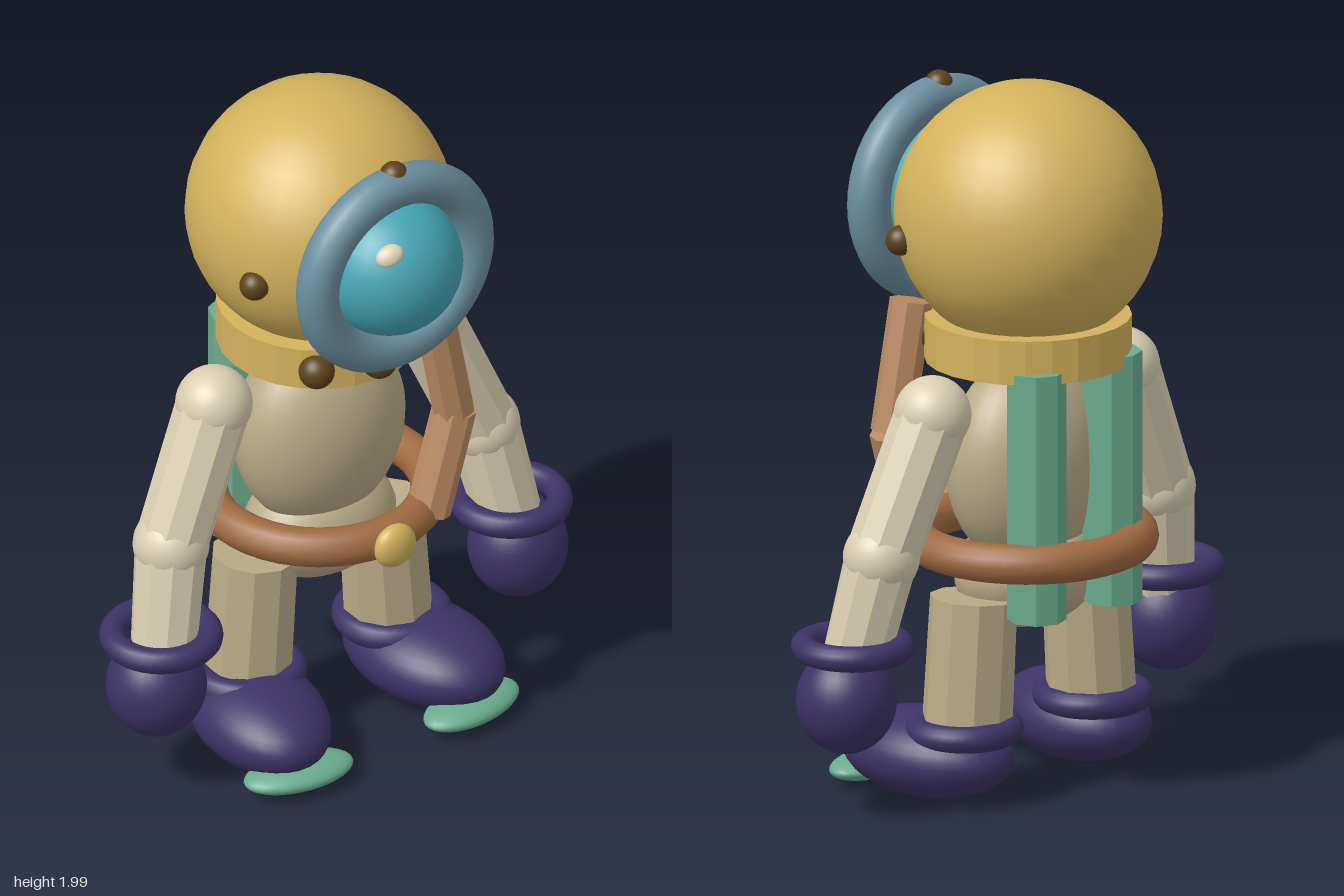
import * as THREE from 'three';

const paint = (name, color, flatShading = false) => {
  const m = new THREE.MeshStandardMaterial({ color });
  m.name = name;
  m.flatShading = flatShading;
  return m;
};

export function createModel() {
  const model = new THREE.Group();
  model.name = 'diver';

  const gold = paint('gold', 0xd3b25c);
  const steel = paint('steelBlue', 0x6b8e9e);
  const glass = paint('glassTeal', 0x45a5b3);
  const cream = paint('cream', 0xd9cfb2);
  const tan = paint('tan', 0xb9ab88);
  const purple = paint('purple', 0x3d3366);
  const green = paint('seaGreen', 0x6aab8e);
  const bronze = paint('bronze', 0x5c421c);
  const copper = paint('copper', 0xba8a62);
  const leather = paint('leather', 0xa06a42);

  const add = (name, geometry, material, pos, parent = model) => {
    const mesh = new THREE.Mesh(geometry, material);
    mesh.name = name;
    mesh.position.set(...pos);
    parent.add(mesh);
    return mesh;
  };
  // Ellipsoid with radii r
  const ball = (name, material, pos, r, parent) => {
    const mesh = add(name, new THREE.SphereGeometry(1, 32, 20), material, pos, parent);
    mesh.scale.set(...r);
    return mesh;
  };
  // Horizontal ring
  const hoop = (name, material, pos, R, r, parent) =>
    add(name, new THREE.TorusGeometry(R, r, 14, 40).rotateX(Math.PI / 2), material, pos, parent);
  // Faceted tapered rod from a to b
  const rod = (name, material, a, b, ra, rb, sides, parent) => {
    const start = new THREE.Vector3(...a), end = new THREE.Vector3(...b);
    const dir = end.clone().sub(start);
    const geo = new THREE.CylinderGeometry(rb, ra, dir.length(), sides).toNonIndexed();
    geo.computeVertexNormals();
    const mesh = add(name, geo, material, start.add(end).multiplyScalar(0.5).toArray(), parent);
    mesh.quaternion.setFromUnitVectors(new THREE.Vector3(0, 1, 0), dir.normalize());
    return mesh;
  };

  // Helmet and porthole
  ball('helmet', gold, [0, 1.63, -0.08], [0.37, 0.37, 0.37]);
  add('portholeRing', new THREE.TorusGeometry(0.26, 0.06, 16, 48), steel, [0, 1.63, 0.28]);
  ball('portholeGlass', glass, [0, 1.63, 0.25], [0.205, 0.205, 0.205]);
  const glint = ball('glassGlint', cream, [-0.092, 1.755, 0.385], [0.04, 0.03, 0.018]);
  glint.lookAt(-0.184, 1.88, 0.52);
  glint.rotateZ(0.5);
  ball('ringBolt', bronze, [0, 1.925, 0.275], [0.04, 0.04, 0.04]);
  for (const s of [-1, 1]) ball('helmetBolt', bronze, [s * 0.33, 1.585, 0.08], [0.042, 0.042, 0.042]);

  // Collar with front bolts
  rod('collar', gold, [0, 1.22, -0.08], [0, 1.345, -0.08], 0.285, 0.285, 24);
  for (const x of [-0.17, 0, 0.17]) {
    const z = -0.08 + Math.sqrt(0.285 ** 2 - x * x);
    ball('collarBolt', bronze, [x, 1.28, z], [0.05, 0.05, 0.05]);
  }

  // Body
  ball('torso', tan, [0, 0.93, -0.08], [0.26, 0.3, 0.185]);
  ball('pelvis', tan, [0, 0.62, -0.08], [0.23, 0.16, 0.17]);
  hoop('belt', leather, [0, 0.715, -0.08], 0.305, 0.055);
  ball('buckle', gold, [0, 0.715, 0.28], [0.065, 0.065, 0.038]);

  // Air hose
  rod('hoseUpper', copper, [0.2, 1.37, 0.175], [0.268, 1.005, 0.18], 0.06, 0.06, 8);
  rod('hoseLower', copper, [0.27, 1.01, 0.18], [0.18, 0.71, 0.185], 0.062, 0.062, 8);

  for (const s of [-1, 1]) {
    // Air tank
    rod('airTank', green, [s * 0.143, 0.54, -0.265], [s * 0.143, 1.25, -0.265], 0.082, 0.082, 8);

    // Arm
    const arm = new THREE.Group();
    arm.name = s > 0 ? 'leftArm' : 'rightArm';
    model.add(arm);
    const shoulder = [s * 0.357, 1.127, -0.075], elbow = [s * 0.522, 0.745, -0.045];
    const wrist = [s * 0.585, 0.42, 0.005];
    ball('shoulder', cream, shoulder, [0.107, 0.107, 0.107], arm);
    rod('upperArm', cream, shoulder, elbow, 0.104, 0.102, 10, arm);
    ball('elbow', cream, elbow, [0.106, 0.106, 0.106], arm);
    rod('forearm', cream, elbow, wrist, 0.102, 0.092, 10, arm);
    hoop('cuff', purple, [s * 0.587, 0.495, 0], 0.135, 0.036, arm);
    ball('hand', purple, [s * 0.607, 0.345, 0.005], [0.14, 0.15, 0.138], arm);

    // Leg
    const leg = new THREE.Group();
    leg.name = s > 0 ? 'leftLeg' : 'rightLeg';
    model.add(leg);
    rod('legTube', tan, [s * 0.21, 0.58, -0.085], [s * 0.237, 0.19, -0.085], 0.122, 0.126, 10, leg);
    hoop('ankleRing', purple, [s * 0.245, 0.212, -0.08], 0.13, 0.037, leg);
    const boot = ball('boot', purple, [s * 0.277, 0.13, 0.025], [0.18, 0.122, 0.265], leg);
    boot.rotation.y = s * 0.15;
    const toe = ball('toeCap', green, [s * 0.29, 0.058, 0.232], [0.163, 0.038, 0.086], leg);
    toe.rotation.y = s * 0.15;
  }
  return model;
}
